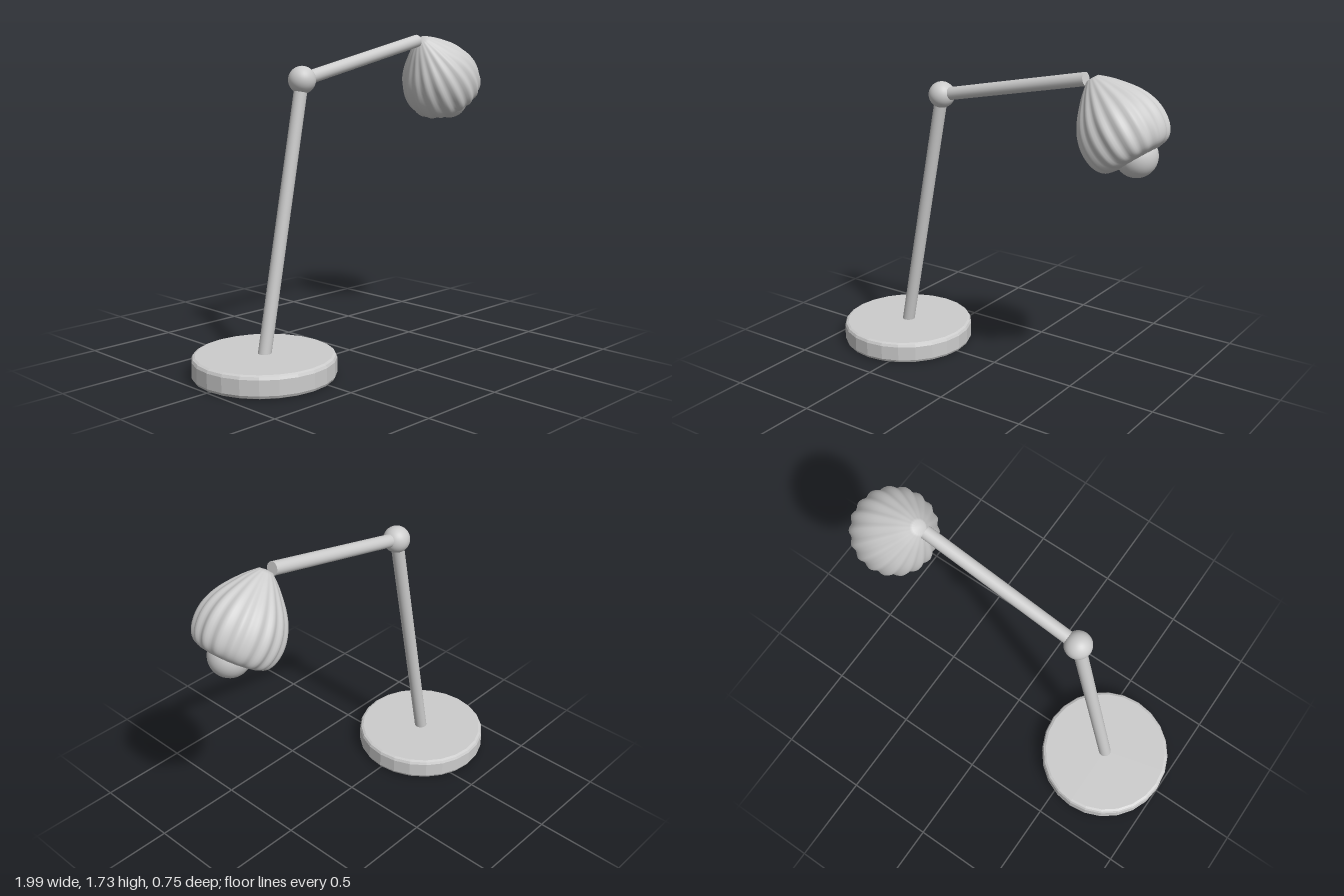
import * as THREE from 'three';
import { mergeVertices } from 'three/addons/utils/BufferGeometryUtils.js';

const grey = new THREE.MeshStandardMaterial({ color: 0xcccccc });
grey.name = 'plainGrey';
const greyOpen = grey.clone();
greyOpen.side = THREE.DoubleSide;
const greyFlat = grey.clone();
greyFlat.flatShading = true;

const v2 = (p) => p.map(([x, y]) => new THREE.Vector2(x, y));

function add(parent, name, geometry, material, x = 0, y = 0) {
  const mesh = new THREE.Mesh(geometry, material);
  mesh.name = name;
  mesh.position.set(x, y, 0);
  parent.add(mesh);
  return mesh;
}

// Straight rod between two points in the x-y plane
function addRod(parent, name, [x1, y1], [x2, y2], radius) {
  const length = Math.hypot(x2 - x1, y2 - y1);
  const rod = add(parent, name, new THREE.CylinderGeometry(radius, radius, length, 24),
    grey, (x1 + x2) / 2, (y1 + y2) / 2);
  rod.rotation.z = -Math.atan2(x2 - x1, y2 - y1);
}

// Bell-shaped shade: a lathe whose radius ripples into flutes
function shadeGeometry() {
  const ribs = 18;
  const side = new THREE.SplineCurve(v2([
    [0.105, -0.452], [0.172, -0.436], [0.209, -0.39], [0.222, -0.315],
    [0.21, -0.235], [0.172, -0.155], [0.098, -0.06], [0.035, 0],
  ])).getPoints(28);
  let g = new THREE.LatheGeometry([...side, new THREE.Vector2(0, 0.004)], ribs * 6);
  const p = g.attributes.position;
  for (let i = 0; i < p.count; i++) {
    const x = p.getX(i), z = p.getZ(i);
    const r = Math.hypot(x, z);
    const k = 1 + 0.03 * Math.min(1, r / 0.15) * Math.cos(ribs * Math.atan2(z, x));
    p.setX(i, x * k);
    p.setZ(i, z * k);
  }
  g.deleteAttribute('uv');
  g.deleteAttribute('normal');
  g = mergeVertices(g, 1e-5);
  g.computeVertexNormals();
  return g;
}

export function createModel() {
  const lamp = new THREE.Group();
  lamp.name = 'deskLamp';

  // Faceted round base with bevelled edges
  const base = v2([[0, 0], [0.355, 0], [0.368, 0.006], [0.375, 0.02],
    [0.375, 0.1], [0.368, 0.114], [0.355, 0.12], [0, 0.12]]);
  add(lamp, 'base', new THREE.LatheGeometry(base, 24), greyFlat, -0.625, 0);

  // Jointed arm
  const elbow = [-0.347, 1.508];
  addRod(lamp, 'lowerArm', [-0.63, 0.08], elbow, 0.035);
  add(lamp, 'elbowJoint', new THREE.SphereGeometry(0.072, 32, 20), grey, ...elbow);
  addRod(lamp, 'upperArm', elbow, [0.547, 1.697], 0.035);

  // Tilted head
  const head = new THREE.Group();
  head.name = 'head';
  head.position.set(0.585, 1.704, 0);
  head.rotation.z = 0.63;
  lamp.add(head);
  add(head, 'shade', shadeGeometry(), greyOpen);
  add(head, 'bulb', new THREE.SphereGeometry(0.108, 32, 20), grey, 0, -0.436);

  return lamp;
}
